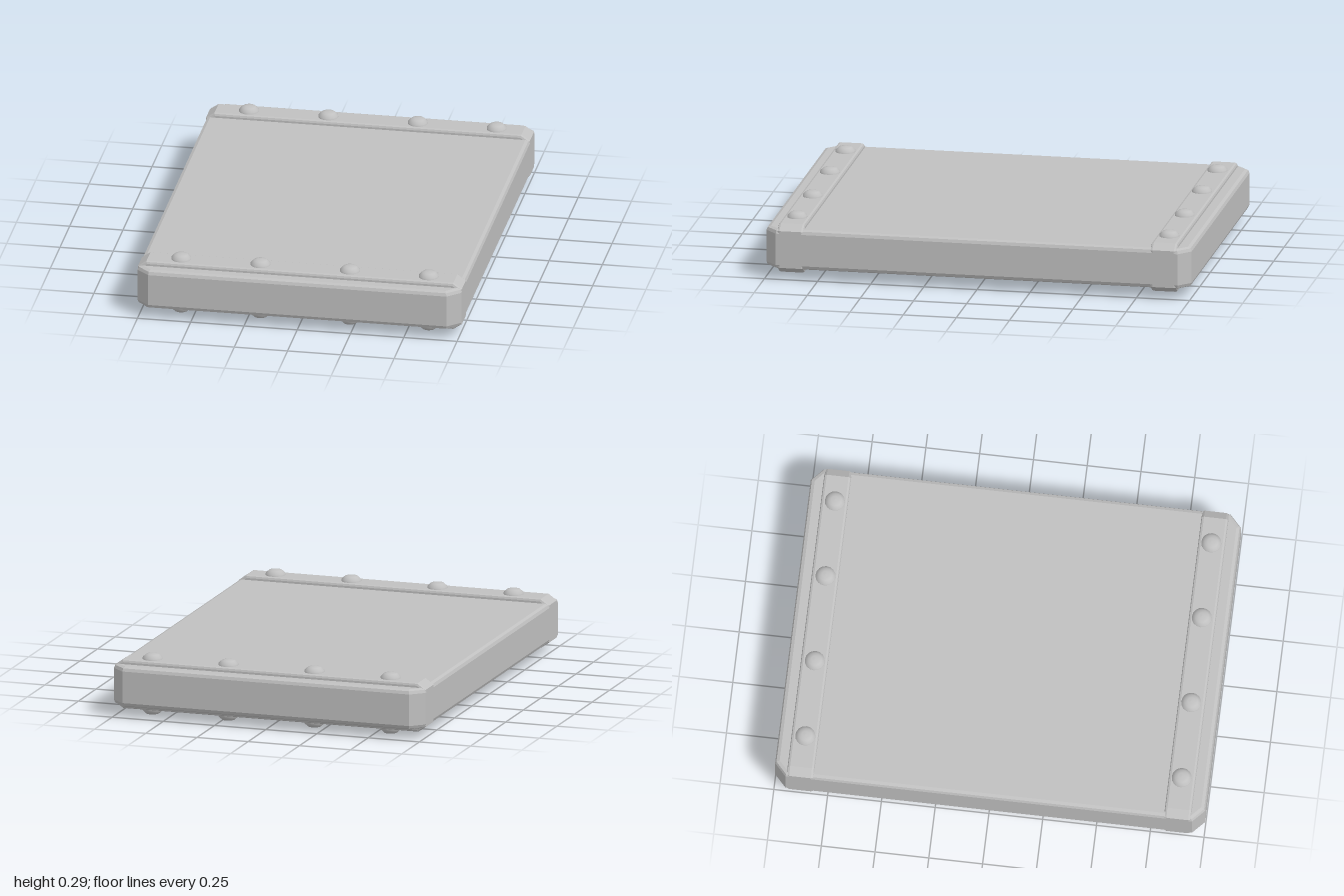
import * as THREE from 'three';

// Prism from an outline, with a bevel that stays inside the outline and depth
function prism(points, depth, bevel) {
  const shape = new THREE.Shape(points.map(([a, b]) => new THREE.Vector2(a, b)));
  const geo = new THREE.ExtrudeGeometry(shape, {
    depth: depth - 2 * bevel, bevelEnabled: true, bevelThickness: bevel,
    bevelSize: bevel, bevelOffset: -bevel, bevelSegments: 2,
  });
  return geo.translate(0, 0, bevel - depth / 2);
}

// Rectangle with cut corners, half sizes w and h, cuts cx and cy
function cutRect(w, h, cx, cy) {
  return [[w, -h + cy], [w, h - cy], [w - cx, h], [-w + cx, h],
    [-w, h - cy], [-w, -h + cy], [-w + cx, -h], [w - cx, -h]];
}

export function createModel() {
  const model = new THREE.Group();
  model.name = 'rivetedPanel';
  const grey = new THREE.MeshStandardMaterial({ color: 0xc0c0c0 });
  grey.name = 'light grey';
  const midY = 0.147;

  function add(name, geo, x, y, z, parent = model) {
    const mesh = new THREE.Mesh(geo, grey);
    mesh.name = name;
    mesh.position.set(x, y, z);
    parent.add(mesh);
    return mesh;
  }

  // Main slab with cut corners at both ends
  const slab = prism(cutRect(0.76, 1, 0.06, 0.055), 0.19, 0.02);
  slab.rotateX(-Math.PI / 2);
  add('slab', slab, 0, midY, 0);

  // Raised band across each end, with rivets above and below
  const bandGeo = prism(cutRect(0.76, 0.116, 0.04, 0.028), 0.125, 0.012);
  const rivetGeo = new THREE.LatheGeometry(
    [[0.047, -0.005], [0.046, 0.009], [0.031, 0.023], [0.016, 0.026], [0, 0.027]]
      .map(([r, y]) => new THREE.Vector2(r, y)), 16);

  for (const side of [1, -1]) {
    const end = new THREE.Group();
    end.name = side > 0 ? 'frontEnd' : 'backEnd';
    model.add(end);
    add('band', bandGeo, 0, midY, side * 0.877, end);
    for (const x of [-0.567, -0.195, 0.225, 0.595]) {
      add('topRivet', rivetGeo, x, 0.262, side * 0.875, end);
      add('bottomRivet', rivetGeo, x, 0.028, side * 0.875, end).rotation.x = Math.PI;
    }
  }
  return model;
}
